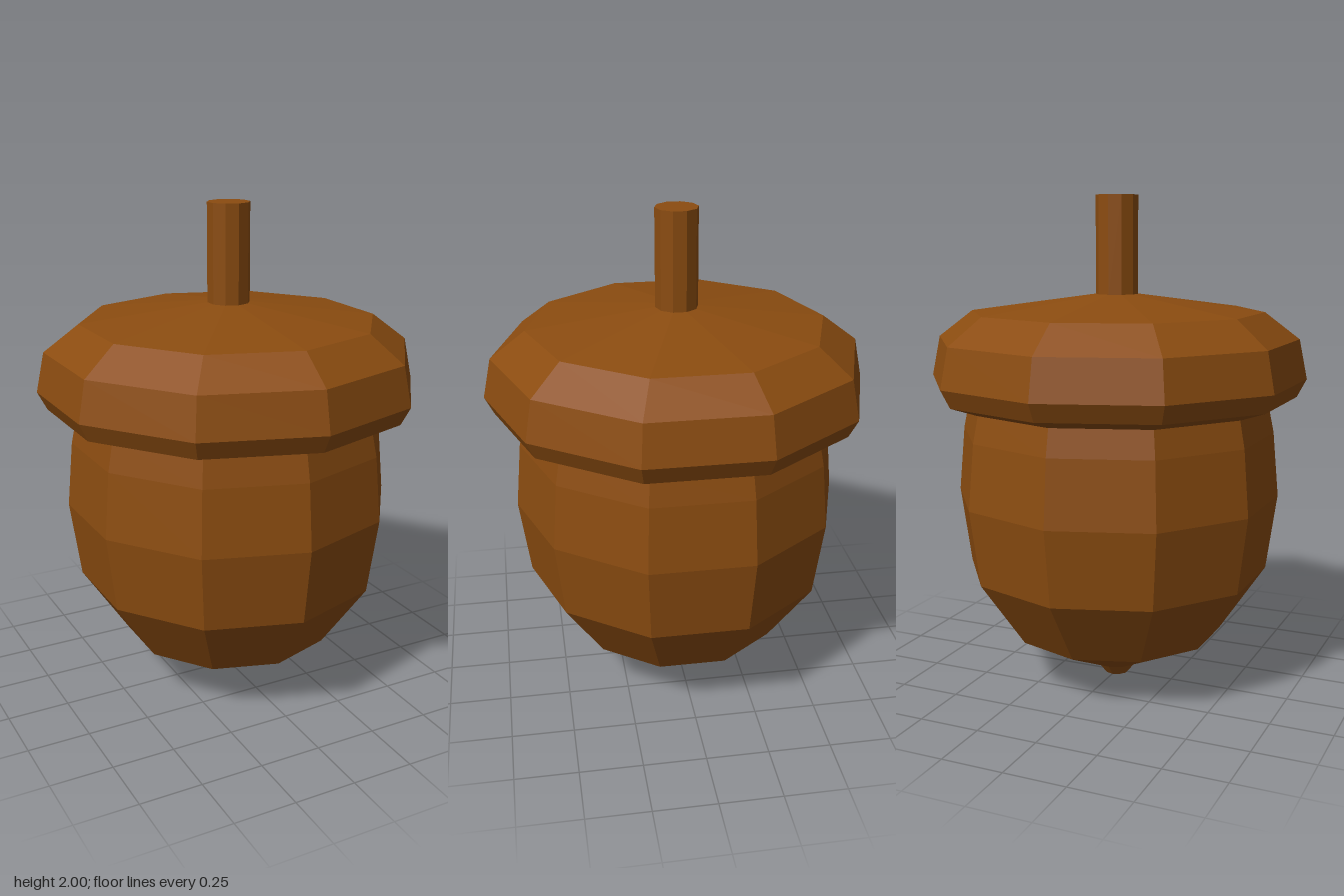
import * as THREE from 'three';

const SIDES = 10;

export function createModel() {
  const acorn = new THREE.Group();
  acorn.name = 'acorn';

  const brown = new THREE.MeshStandardMaterial({ color: 0x8b4c10 });
  brown.name = 'brown';
  brown.flatShading = true;

  const add = (name, geometry) => {
    const mesh = new THREE.Mesh(geometry, brown);
    mesh.name = name;
    acorn.add(mesh);
    return mesh;
  };

  // Ten-sided turned shape from [radius, height] pairs, bottom to top
  const turned = (profile) =>
    new THREE.LatheGeometry(profile.map(([r, y]) => new THREE.Vector2(r, y)), SIDES);

  // Nut body with its small blunt tip
  add('nut', turned([
    [0, 0], [0.05, 0], [0.085, 0.045], [0.435, 0.208], [0.622, 0.48],
    [0.665, 0.79], [0.641, 1.055], [0.615, 1.18],
  ]));

  // Overhanging cap, closed underneath around the nut
  add('cap', turned([
    [0.55, 1.163], [0.62, 1.163], [0.73, 1.2], [0.768, 1.273],
    [0.735, 1.433], [0.595, 1.54], [0.085, 1.61], [0, 1.61],
  ]));

  // Stem
  const stem = add('stem', new THREE.CylinderGeometry(0.085, 0.085, 0.4, SIDES));
  stem.position.y = 1.8;

  return acorn;
}
